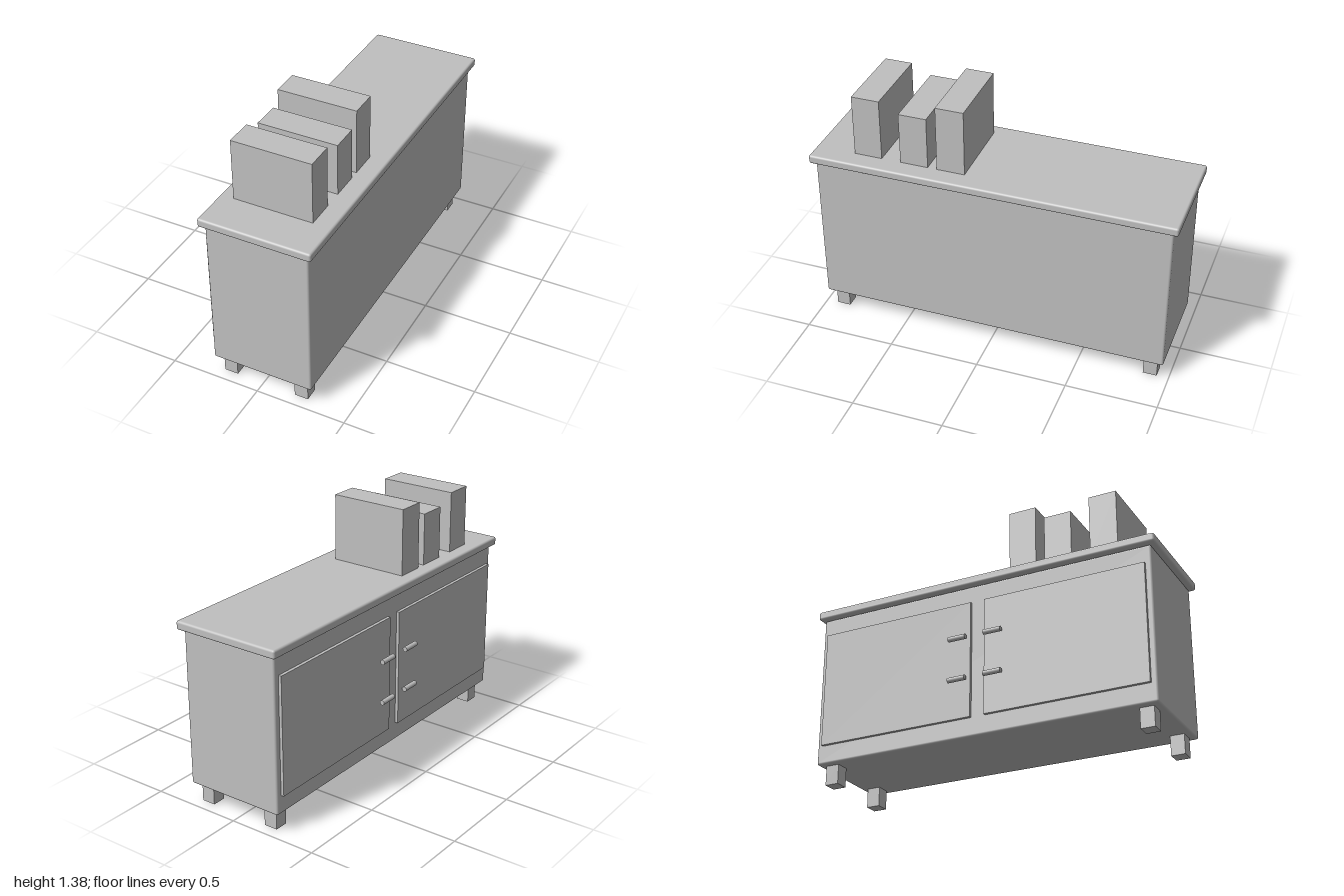
import * as THREE from 'three';
import { RoundedBoxGeometry } from 'three/addons/geometries/RoundedBoxGeometry.js';

export function createModel() {
  const model = new THREE.Group();
  model.name = 'sideboard';
  const grey = new THREE.MeshStandardMaterial({ color: 0xc0c0c0 });
  grey.name = 'light grey';

  // Box given by its extents; a radius rounds the edges
  function addBox(name, [x0, x1], [y0, y1], [z0, z1], radius = 0) {
    const size = [x1 - x0, y1 - y0, z1 - z0];
    const geometry = radius
      ? new RoundedBoxGeometry(...size, 3, radius)
      : new THREE.BoxGeometry(...size);
    const mesh = new THREE.Mesh(geometry, grey);
    mesh.name = name;
    mesh.position.set((x0 + x1) / 2, (y0 + y1) / 2, (z0 + z1) / 2);
    model.add(mesh);
  }

  // Cabinet and worktop
  addBox('cabinetBody', [-0.267, 0.299], [0.107, 0.962], [-0.972, 0.972], 0.012);
  addBox('worktop', [-0.293, 0.326], [0.965, 1.013], [-1, 1], 0.012);

  // Feet
  for (const x of [-0.191, 0.223]) {
    for (const z of [-0.897, 0.897]) {
      addBox('foot', [x - 0.038, x + 0.038], [0, 0.11], [z - 0.038, z + 0.038]);
    }
  }

  // Doors on the -x side, each with two bar handles
  for (const side of [-1, 1]) {
    const z = side * 0.49;
    addBox('door', [-0.284, -0.26], [0.21, 0.86], [z - 0.45, z + 0.45]);
    for (const y of [0.418, 0.651]) {
      const bar = new THREE.CylinderGeometry(0.014, 0.014, 0.1, 16).rotateX(Math.PI / 2);
      const handle = new THREE.Mesh(bar, grey);
      handle.name = 'doorHandle';
      handle.position.set(-0.315, y, side * 0.103);
      model.add(handle);
    }
  }

  // Blocks standing on the worktop: centre z and top height
  for (const [z, top] of [[0.235, 1.38], [0.44, 1.302], [0.7, 1.355]]) {
    addBox('block', [-0.218, 0.222], [1.01, top], [z - 0.077, z + 0.077]);
  }

  return model;
}
